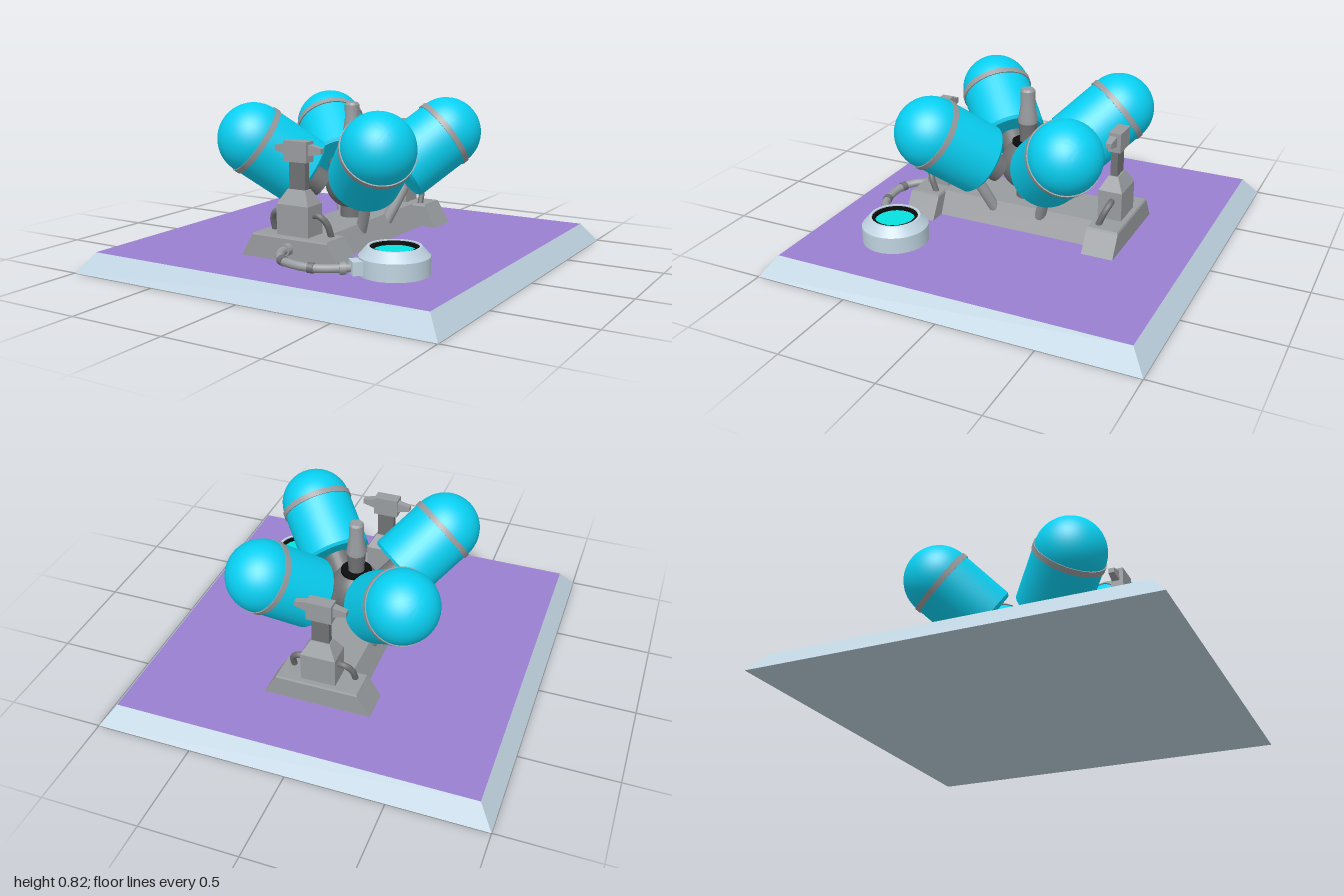
import * as THREE from 'three';
import { toCreasedNormals } from 'three/addons/utils/BufferGeometryUtils.js';

const mat = (color) => new THREE.MeshStandardMaterial({ color });
const V = (x, y, z) => new THREE.Vector3(x, y, z);

export function createModel() {
  const model = new THREE.Group();
  const grey = mat(0x999c9f), dark = mat(0x6f7173), pale = mat(0xbfd3e0);
  const cyan = mat(0x08d0f2), glow = mat(0x08e0e0), black = mat(0x0c0c0c), purple = mat(0x9a7fd0);

  const add = (parent, name, geometry, material, x = 0, y = 0, z = 0) => {
    const mesh = new THREE.Mesh(geometry, material);
    mesh.name = name;
    mesh.position.set(x, y, z);
    parent.add(mesh);
    return mesh;
  };
  // Box standing on y = 0 whose top has its own width and depth
  const frustum = (w0, d0, w1, d1, h) => {
    const g = new THREE.BoxGeometry(w0, h, d0).translate(0, h / 2, 0);
    const p = g.attributes.position;
    for (let i = 0; i < p.count; i++) {
      if (p.getY(i) > h / 2) p.setXYZ(i, p.getX(i) * w1 / w0, h, p.getZ(i) * d1 / d0);
    }
    g.computeVertexNormals();
    return g;
  };
  // Turned part from [radius, height] pairs, bottom to top
  const turned = (profile, sides = 32) => toCreasedNormals(
    new THREE.LatheGeometry(profile.map(([r, y]) => new THREE.Vector2(r, y)), sides), 0.5);
  const hose = (points, r, steps = 24) =>
    new THREE.TubeGeometry(new THREE.CatmullRomCurve3(points), steps, r, 12);

  // Ground slab with sloping edges and a coloured top
  const slab = new THREE.CylinderGeometry(0.925 * Math.SQRT2, Math.SQRT2, 0.1, 4).toNonIndexed();
  slab.rotateY(Math.PI / 4);
  slab.computeVertexNormals();
  add(model, 'groundSlab', slab, [pale, purple, pale], 0, 0.05, 0);

  // Long beam between the two feet
  add(model, 'beam', frustum(0.38, 0.86, 0.27, 0.86, 0.118), grey, 0, 0.1, 0);

  // Foot, post, clamp and hoses, same at front and back
  for (const s of [1, -1]) {
    const end = new THREE.Group();
    end.name = s > 0 ? 'frontSupport' : 'backSupport';
    end.rotation.y = s > 0 ? 0 : Math.PI;
    model.add(end);
    add(end, 'foot', frustum(0.56, 0.165, 0.43, 0.165, 0.11), grey, 0, 0.1, 0.502);
    add(end, 'footTop', frustum(0.43, 0.165, 0.42, 0.155, 0.01), grey, 0, 0.21, 0.502);
    add(end, 'postBase', frustum(0.18, 0.125, 0.18, 0.125, 0.15), grey, 0, 0.22, 0.492);
    add(end, 'postShoulder', frustum(0.18, 0.125, 0.1, 0.05, 0.07), grey, 0, 0.37, 0.492);
    add(end, 'postColumn', new THREE.BoxGeometry(0.09, 0.16, 0.036), dark, 0, 0.51, 0.492);
    add(end, 'clampHead', new THREE.BoxGeometry(0.13, 0.1, 0.065), grey, 0, 0.625, 0.497);
    for (const side of [1, -1]) {
      const arm = add(end, 'clampArm', frustum(0.055, 0.04, 0.025, 0.03, 0.07), grey, side * 0.062, 0.633, 0.49);
      arm.rotation.z = -side * Math.PI / 2;
      add(end, 'postHose', hose([
        V(side * 0.08, 0.32, 0.5), V(side * 0.125, 0.32, 0.505),
        V(side * 0.155, 0.285, 0.49), V(side * 0.163, 0.21, 0.46)], 0.016), dark);
    }
  }

  // Central ball joint and mast
  add(model, 'hub', turned([[0, 0.21], [0.06, 0.21], [0.06, 0.275],
    ...Array.from({ length: 17 }, (_, i) => {
      const a = -1.1 + i * 2.05 / 16;
      return [0.14 * Math.cos(a), 0.4 + 0.14 * Math.sin(a)];
    }), [0, 0.514]]), dark);
  add(model, 'hubSeal', turned([[0, 0.49], [0.08, 0.49], [0.08, 0.53], [0, 0.53]]), black);
  add(model, 'mastStem', turned([[0, 0.5], [0.042, 0.5], [0.042, 0.56], [0.05, 0.64], [0, 0.64]]), dark);
  add(model, 'mast', turned([[0, 0.63], [0.05, 0.63], [0.05, 0.65], [0.038, 0.725],
    [0.038, 0.8], [0.03, 0.812], [0, 0.812]]), grey);

  // Four tilted domed tanks with bands, and a strut under each
  const R = 0.184, L = 0.32;
  const dome = Array.from({ length: 17 }, (_, i) => {
    const a = i * Math.PI / 32;
    return [i === 16 ? 0 : R * Math.cos(a), L + R * Math.sin(a)];
  });
  const tankGeometry = turned([[0, 0], [R - 0.014, 0], [R, 0.014], ...dome], 40);
  const bandGeometry = turned([[R - 0.01, L - 0.03], [R + 0.006, L - 0.03],
    [R + 0.006, L], [R - 0.01, L]], 40);
  for (const sx of [1, -1]) for (const sz of [1, -1]) {
    const tank = new THREE.Group();
    tank.name = (sz > 0 ? 'front' : 'back') + (sx > 0 ? 'Left' : 'Right') + 'Tank';
    tank.position.set(sx * 0.176, 0.456, sz * 0.176);
    tank.quaternion.setFromUnitVectors(V(0, 1, 0), V(sx, 1, sz).normalize());
    model.add(tank);
    add(tank, 'shell', tankGeometry, cyan);
    add(tank, 'band', bandGeometry, grey);
    add(tank, 'endPlug', new THREE.CylinderGeometry(0.07, 0.07, 0.12, 24), dark, 0, -0.05, 0);
    add(model, 'strut', hose([V(sx * 0.2, 0.36, sz * 0.2), V(sx * 0.165, 0.26, sz * 0.16),
      V(sx * 0.125, 0.16, sz * 0.125)], 0.029, 8), grey);
  }

  // Round pod with a recessed glowing lens
  const pod = new THREE.Group();
  pod.name = 'pod';
  pod.position.set(0.525, 0.1, 0.495);
  model.add(pod);
  add(pod, 'podHousing', turned([[0, 0], [0.168, 0], [0.168, 0.085], [0.128, 0.13],
    [0.116, 0.13], [0.116, 0.09]], 40), pale);
  add(pod, 'lensRim', turned([[0.115, 0.095], [0.115, 0.125], [0.1, 0.125], [0.1, 0.095]], 40), black);
  add(pod, 'lens', new THREE.CylinderGeometry(0.104, 0.104, 0.02, 40), glow, 0, 0.098, 0);
  const socket = add(pod, 'hoseSocket', new THREE.BoxGeometry(0.08, 0.065, 0.08), pale, -0.115, 0.043, 0.125);
  socket.rotation.y = Math.PI / 4;

  // Hose from the front foot to the pod, with collars
  const path = new THREE.CatmullRomCurve3([V(0, 0.165, 0.57), V(0, 0.162, 0.65), V(0.05, 0.15, 0.72),
    V(0.14, 0.142, 0.742), V(0.25, 0.137, 0.725), V(0.34, 0.137, 0.67), V(0.4, 0.14, 0.62)]);
  add(model, 'podHose', new THREE.TubeGeometry(path, 48, 0.021, 14), grey);
  for (const t of [0.06, 0.33, 0.62, 0.88]) {
    const p = path.getPointAt(t);
    const big = t < 0.1 || t > 0.8;
    const collar = add(model, 'hoseCollar', new THREE.CylinderGeometry(big ? 0.03 : 0.025, big ? 0.03 : 0.025, 0.03, 16),
      big ? grey : dark, p.x, p.y, p.z);
    collar.quaternion.setFromUnitVectors(V(0, 1, 0), path.getTangentAt(t));
  }
  return model;
}
